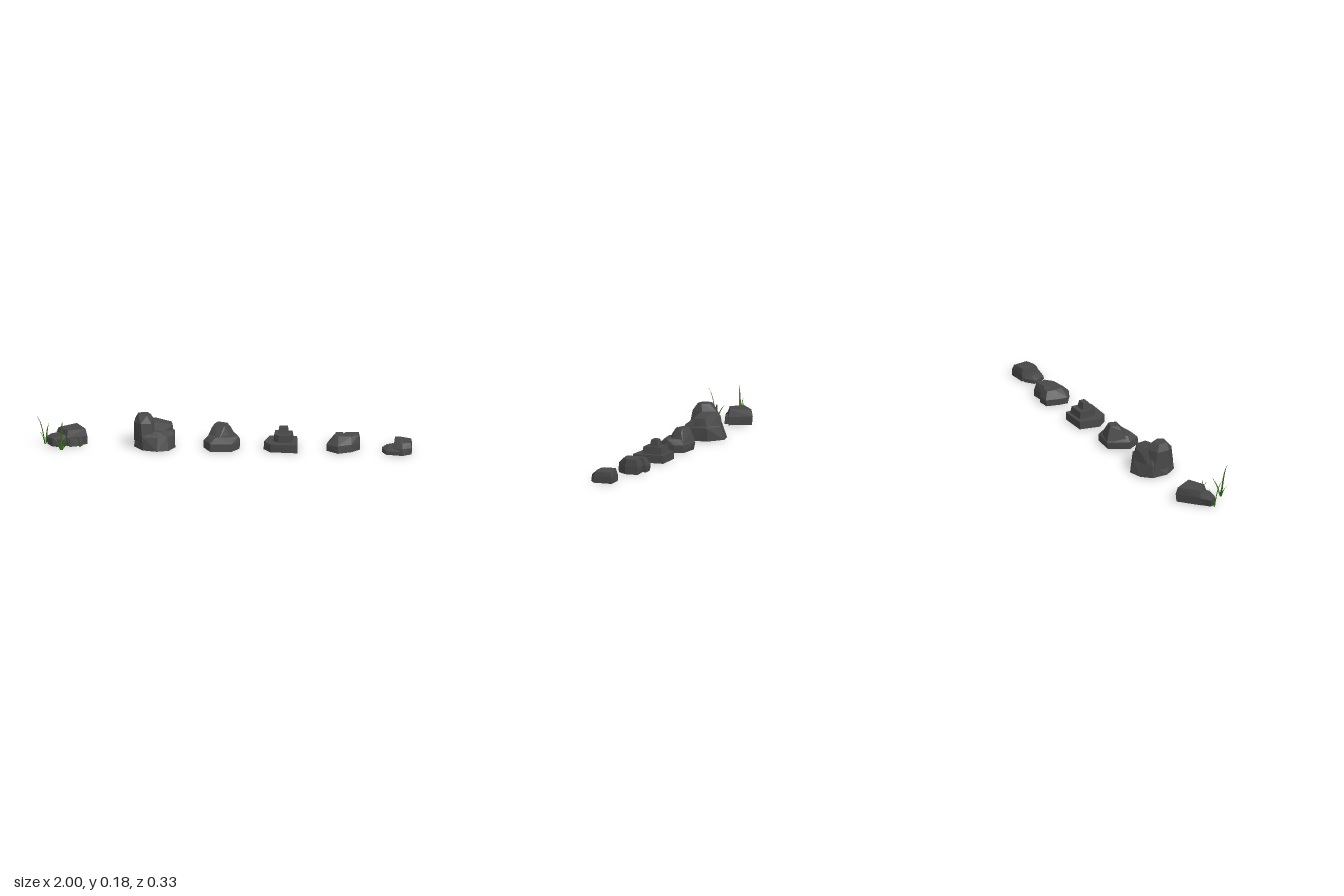
import * as THREE from 'three';
import { ConvexGeometry } from 'three/addons/geometries/ConvexGeometry.js';

const stone = new THREE.MeshStandardMaterial({ color: 0x484848, flatShading: true });
const leaf = new THREE.MeshStandardMaterial({ color: 0x3d6e22, side: THREE.DoubleSide });

// A rock is a group of convex chunks; each chunk is a stack of layers [y, x, z, x, z, ...]
function rock(name, chunks) {
  const group = new THREE.Group();
  group.name = name;
  for (const [part, ...layers] of chunks) {
    const points = [];
    for (const [y, ...xz] of layers) {
      for (let i = 0; i < xz.length; i += 2) points.push(new THREE.Vector3(xz[i], y, xz[i + 1]));
    }
    const mesh = new THREE.Mesh(new ConvexGeometry(points), stone);
    mesh.name = part;
    group.add(mesh);
  }
  return group;
}

// A tapering, lengthwise folded grass blade that bends from base through mid to tip
function blade(base, mid, tip, width) {
  const curve = new THREE.QuadraticBezierCurve3(
    new THREE.Vector3(...base), new THREE.Vector3(...mid), new THREE.Vector3(...tip));
  const lean = new THREE.Vector3(tip[0] - base[0], 0, tip[2] - base[2]).normalize();
  const side = new THREE.Vector3(-lean.z, 0, lean.x);
  const pos = [], index = [], n = 7;
  for (let i = 0; i <= n; i++) {
    const t = i / n, p = curve.getPoint(t);
    const w = width * 0.5 * (1 - t) * (0.85 + 0.9 * t);
    for (const s of [-1, 0, 1]) {
      const q = p.clone().addScaledVector(side, s * w).addScaledVector(lean, s === 0 ? w * 0.5 : 0);
      pos.push(q.x, q.y, q.z);
    }
    if (i < n) {
      for (const k of [0, 1]) {
        const a = i * 3 + k;
        index.push(a, a + 1, a + 3, a + 1, a + 4, a + 3);
      }
    }
  }
  const geo = new THREE.BufferGeometry();
  geo.setAttribute('position', new THREE.Float32BufferAttribute(pos, 3));
  geo.setIndex(index);
  geo.computeVertexNormals();
  const mesh = new THREE.Mesh(geo, leaf);
  mesh.name = 'grassBlade';
  return mesh;
}

// A tuft: blades [tipX, tipY, tipZ, width] fanning out from one root
function tuft(name, x, z, blades) {
  const group = new THREE.Group();
  group.name = name;
  for (const [tx, ty, tz, w] of blades) {
    const bx = x + (tx - x) * 0.08, bz = z + (tz - z) * 0.08;
    const mid = [bx + (tx - bx) * 0.35, ty * 0.85, bz + (tz - bz) * 0.35];
    group.add(blade([bx, 0.004, bz], mid, [tx, ty, tz], w));
  }
  return group;
}

export function createModel() {
  const model = new THREE.Group();
  model.name = 'rockSet';

  model.add(rock('grassyRock', [
    ['mainBlock',
      [0, -0.79, -0.14, -0.73, -0.03, -0.83, 0.015, -0.9, -0.05],
      [0.045, -0.79, -0.145, -0.73, -0.03, -0.835, 0.02, -0.9, -0.055],
      [0.083, -0.795, -0.135, -0.74, -0.035, -0.83, 0.005, -0.885, -0.055]],
    ['sideBlock',
      [0, -0.94, -0.015, -0.88, -0.06, -0.83, 0.0, -0.86, 0.035, -0.91, 0.03],
      [0.04, -0.95, -0.02, -0.88, -0.07, -0.83, 0.0, -0.85, 0.035, -0.91, 0.025],
      [0.058, -0.92, -0.02, -0.87, -0.06, -0.84, 0.0, -0.87, 0.015]],
    ['frontChip',
      [0, -0.83, 0.0, -0.76, -0.02, -0.75, 0.0, -0.82, 0.03],
      [0.04, -0.83, 0.0, -0.76, -0.025, -0.755, -0.005, -0.82, 0.025]],
  ]));

  model.add(rock('tallRock', [
    ['body',
      [0, -0.48, -0.1, -0.43, -0.15, -0.355, -0.167, -0.275, -0.105, -0.26, -0.01,
        -0.29, 0.055, -0.35, 0.078, -0.43, 0.06, -0.48, -0.01],
      [0.07, -0.475, -0.1, -0.355, -0.145, -0.27, -0.1, -0.265, -0.01, -0.3, 0.04, -0.35, 0.055, -0.43, 0.05],
      [0.092, -0.46, -0.09, -0.36, -0.125, -0.28, -0.03, -0.35, 0.02, -0.43, 0.035]],
    ['shoulder',
      [0.05, -0.46, -0.11, -0.355, -0.148, -0.275, -0.1, -0.266, -0.02, -0.38, 0.01],
      [0.12, -0.4, -0.125, -0.34, -0.12, -0.285, -0.085, -0.275, -0.025],
      [0.138, -0.42, -0.1, -0.37, -0.09, -0.38, -0.02]],
    ['peak',
      [0.04, -0.48, -0.09, -0.48, 0.0, -0.43, 0.055, -0.37, 0.045, -0.37, -0.1],
      [0.14, -0.478, -0.07, -0.478, 0.0, -0.44, 0.038, -0.385, 0.03, -0.37, -0.03, -0.4, -0.1],
      [0.177, -0.46, -0.05, -0.455, 0.0, -0.41, 0.01, -0.39, -0.02, -0.41, -0.06]],
  ]));

  model.add(rock('pointedRock', [
    ['body',
      [0, -0.11, -0.02, -0.08, -0.06, -0.05, -0.12, 0.065, -0.11, 0.08, -0.06, 0.08, -0.01, 0.045, 0.045, -0.07, 0.055],
      [0.04, -0.11, -0.02, -0.05, -0.128, 0.065, -0.11, 0.08, -0.06, 0.08, -0.01, 0.045, 0.04, -0.07, 0.05],
      [0.068, -0.085, -0.02, -0.045, -0.1, 0.05, -0.085, 0.075, -0.02, 0.03, 0.01, -0.045, 0.02]],
    ['peak',
      [0.045, -0.095, -0.03, -0.05, -0.127, 0.055, -0.1, 0.04, -0.03, -0.03, 0.02],
      [0.1, -0.07, -0.05, -0.04, -0.11, 0.03, -0.08, 0.0, -0.025],
      [0.122, -0.055, -0.06, -0.04, -0.1, 0.012, -0.08, 0.0, -0.04]],
  ]));

  // Stepped rock: three stacked, slightly tapered slabs
  model.add(rock('steppedRock', [
    ['baseStep',
      [0, 0.235, -0.125, 0.38, -0.125, 0.38, -0.025, 0.395, 0.045, 0.25, 0.037, 0.21, -0.015],
      [0.043, 0.235, -0.125, 0.38, -0.125, 0.38, -0.025, 0.393, 0.043, 0.25, 0.037, 0.212, -0.015]],
    ['middleStep',
      [0.043, 0.262, -0.108, 0.362, -0.108, 0.362, 0.002, 0.29, 0.002, 0.262, -0.025],
      [0.081, 0.265, -0.103, 0.357, -0.103, 0.357, -0.002, 0.292, -0.002, 0.265, -0.025]],
    ['topStep',
      [0.081, 0.285, -0.078, 0.34, -0.078, 0.34, -0.03, 0.285, -0.03],
      [0.117, 0.29, -0.07, 0.335, -0.07, 0.335, -0.038, 0.29, -0.038]],
  ]));

  // Split rock: two halves with a notch between them at the back
  model.add(rock('splitRock', [
    ['leftHalf',
      [0, 0.635, -0.115, 0.715, -0.12, 0.72, -0.05, 0.68, 0.0, 0.61, 0.035, 0.61, -0.04],
      [0.04, 0.635, -0.118, 0.715, -0.12, 0.72, -0.05, 0.68, -0.003, 0.61, 0.03, 0.61, -0.04],
      [0.08, 0.64, -0.1, 0.71, -0.108, 0.712, -0.055, 0.675, -0.025, 0.61, -0.015]],
    ['rightHalf',
      [0, 0.55, -0.06, 0.57, -0.13, 0.632, -0.135, 0.62, -0.09, 0.63, 0.02, 0.61, 0.035, 0.545, -0.015],
      [0.035, 0.548, -0.06, 0.57, -0.135, 0.632, -0.135, 0.62, -0.09, 0.63, 0.015, 0.61, 0.03, 0.545, -0.015],
      [0.075, 0.585, -0.07, 0.59, -0.115, 0.625, -0.115, 0.62, -0.01, 0.59, -0.025]],
  ]));

  model.add(rock('smallRock', [
    ['mainBlock',
      [0, 0.9, -0.085, 0.995, -0.09, 1.0, 0.012, 0.955, 0.045, 0.9, 0.03],
      [0.035, 0.9, -0.085, 0.995, -0.09, 1.0, 0.012, 0.955, 0.04, 0.905, 0.02],
      [0.069, 0.905, -0.075, 0.93, -0.08, 0.93, 0.0, 0.91, -0.01],
      [0.06, 0.99, -0.08, 0.995, 0.0, 0.95, 0.015]],
    ['lowBlock',
      [0, 0.84, -0.045, 0.89, -0.08, 0.93, -0.06, 0.95, 0.045, 0.865, 0.03, 0.84, -0.02],
      [0.02, 0.84, -0.045, 0.89, -0.08, 0.93, -0.06, 0.945, 0.043, 0.865, 0.027, 0.84, -0.02],
      [0.036, 0.865, -0.045, 0.895, -0.065, 0.92, 0.02, 0.875, 0.005]],
  ]));

  // Grass around the first rock
  model.add(tuft('frontGrass', -0.86, 0.092, [
    [-0.85, 0.172, 0.14, 0.014], [-0.78, 0.07, 0.163, 0.011], [-0.8, 0.093, 0.07, 0.012],
    [-0.915, 0.07, 0.064, 0.011], [-0.905, 0.075, 0.11, 0.011],
  ]));
  model.add(tuft('sideGrass', -0.95, -0.005, [
    [-1, 0.17, 0.025, 0.014], [-0.935, 0.11, -0.03, 0.011], [-0.99, 0.075, -0.01, 0.01],
  ]));
  model.add(tuft('smallGrass', -0.765, 0.03, [
    [-0.73, 0.055, 0.06, 0.008], [-0.775, 0.065, 0.065, 0.008],
  ]));
  return model;
}
